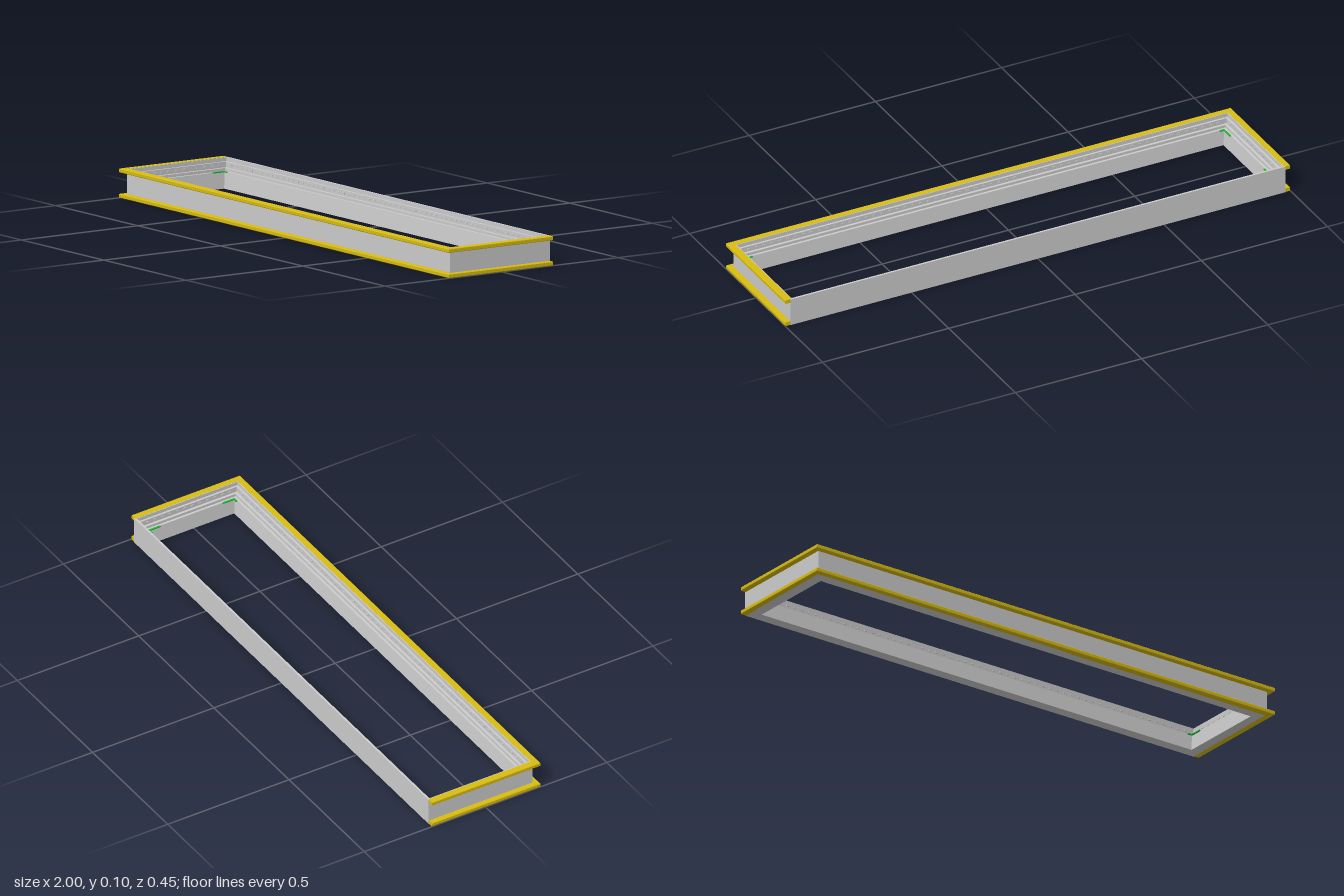
import * as THREE from 'three';
import { mergeGeometries } from 'three/addons/utils/BufferGeometryUtils.js';

const W = 0.98, FRONT = 0.207, BACK = -0.222;

const material = (color) => new THREE.MeshStandardMaterial({ color, flatShading: true });

// Sweeps a section of [outward, y] points round the frame with mitred corners.
// A closed sweep goes all the way round; an open one leaves out the back side.
function sweep(section, closed) {
  const corner = (k, [u, y]) => {
    const x = W + u, front = FRONT + u, back = closed ? BACK - u : BACK + 0.002;
    const [cx, cz] = [[x, back], [x, front], [-x, front], [-x, back]][k % 4];
    return [cx, y, cz];
  };
  const pos = [], n = section.length;
  for (let k = 0; k < (closed ? 4 : 3); k++) {
    for (let i = 0; i < n; i++) {
      const p = section[i], q = section[(i + 1) % n];
      const a = corner(k, p), b = corner(k, q), c = corner(k + 1, q), d = corner(k + 1, p);
      pos.push(...a, ...b, ...c, ...a, ...c, ...d);
    }
  }
  if (!closed) {
    for (let i = 1; i < n - 1; i++) {
      pos.push(...corner(0, section[0]), ...corner(0, section[i + 1]), ...corner(0, section[i]));
      pos.push(...corner(3, section[0]), ...corner(3, section[i]), ...corner(3, section[i + 1]));
    }
  }
  const geo = new THREE.BufferGeometry();
  geo.setAttribute('position', new THREE.Float32BufferAttribute(pos, 3));
  geo.computeVertexNormals();
  return geo;
}

function box(w, h, d, x, y, z) {
  return new THREE.BoxGeometry(w, h, d).translate(x, y, z);
}

export function createModel() {
  const group = new THREE.Group();
  const add = (name, geo, mat) => {
    const mesh = new THREE.Mesh(geo, mat);
    mesh.name = name;
    group.add(mesh);
  };
  const grey = material(0xcccccc), yellow = material(0xd8bd10), green = material(0x22bb33);

  // Main frame, stepping inwards towards the opening
  add('frame', sweep([
    [0, 0], [0, 0.104], [-0.008, 0.104], [-0.008, 0.09], [-0.016, 0.09],
    [-0.016, 0.07], [-0.026, 0.07], [-0.026, 0.06], [-0.035, 0.06], [-0.041, 0],
  ], true), grey);

  // Trim rails along the front and both ends
  for (const [name, y] of [['lowerTrim', 0], ['upperTrim', 0.09]]) {
    const top = y + 0.0145;
    add(name, sweep([
      [-0.005, y], [0.018, y], [0.02, y + 0.002], [0.02, top - 0.002], [0.018, top], [-0.005, top],
    ], false), yellow);
  }

  // Row of small studs along the upper inner step
  const studs = [];
  for (let i = 0; i <= 60; i++) {
    const x = -0.93 + i * 0.031;
    studs.push(box(0.01, 0.006, 0.003, x, 0.08, BACK + 0.017));
    studs.push(box(0.01, 0.006, 0.003, x, 0.08, FRONT - 0.017));
  }
  for (let i = 0; i <= 11; i++) {
    const z = -0.178 + i * 0.031;
    for (const s of [-1, 1]) studs.push(box(0.003, 0.006, 0.01, s * (W - 0.017), 0.08, z));
  }
  add('studs', mergeGeometries(studs), grey);

  // Thin corner clips at the edge of the opening
  const clips = [];
  for (const s of [-1, 1]) {
    for (const [z, dir] of [[BACK + 0.036, 1], [FRONT - 0.036, -1]]) {
      clips.push(box(0.006, 0.004, 0.05, s * (W - 0.038), 0.06, z + dir * 0.025));
      clips.push(box(0.02, 0.004, 0.006, s * (W - 0.045), 0.06, z + dir * 0.003));
    }
  }
  add('cornerClips', mergeGeometries(clips), green);

  return group;
}
